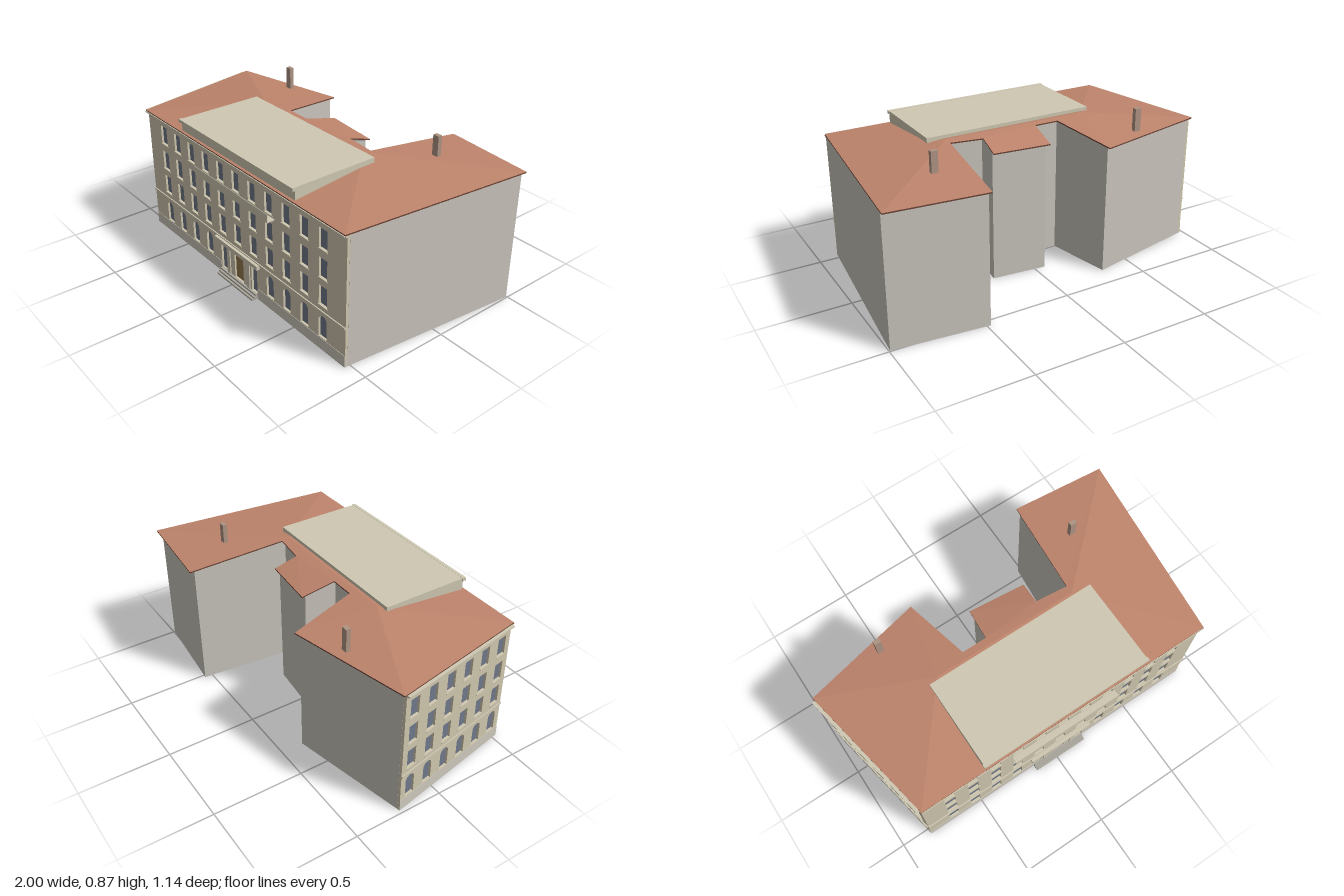
import * as THREE from 'three';

const mat = (color, double) => new THREE.MeshStandardMaterial({
  color, flatShading: true, side: double ? THREE.DoubleSide : THREE.FrontSide });
const M = {
  facade: mat(0xcfc7ae), wall: mat(0xc9c4bc, true), plinth: mat(0xcec9bc), trim: mat(0xcfc8b2),
  roof: mat(0xbe846c), eave: mat(0x6b4436, true), glass: mat(0x70788a), door: mat(0x95794f),
  step: mat(0xaaa69c), chimney: mat(0xae9484),
};

function add(parent, name, geometry, material, x = 0, y = 0, z = 0) {
  const mesh = new THREE.Mesh(geometry, material);
  mesh.name = name;
  mesh.position.set(x, y, z);
  parent.add(mesh);
  return mesh;
}

// Box given by its limits
function block(parent, name, material, x0, x1, y0, y1, z0, z1) {
  return add(parent, name, new THREE.BoxGeometry(x1 - x0, y1 - y0, z1 - z0), material,
    (x0 + x1) / 2, (y0 + y1) / 2, (z0 + z1) / 2);
}

// Rectangular or round-headed opening
function opening(x, y0, y1, w, arched) {
  const p = new THREE.Path(), r = w / 2;
  p.moveTo(x - r, y0);
  p.lineTo(x + r, y0);
  if (arched) {
    p.lineTo(x + r, y1 - r);
    p.absarc(x, y1 - r, r, 0, Math.PI, false);
  } else {
    p.lineTo(x + r, y1);
    p.lineTo(x - r, y1);
  }
  p.closePath();
  return p;
}

const DEPTH = 0.015, EAVE = 0.728;
const ROWS = [[0.57, 0.68], [0.412, 0.522], [0.258, 0.368]];

// Pierced facade plate, glazing, plinth, belt course and cornice; outer face at z = 0
function facade(name, length, columns, width, entrance) {
  const g = new THREE.Group();
  g.name = name;
  const shape = new THREE.Shape();
  shape.moveTo(0, 0).lineTo(length, 0).lineTo(length, EAVE).lineTo(0, EAVE).closePath();
  columns.forEach((x, i) => {
    for (const [y0, y1] of ROWS) {
      shape.holes.push(opening(x, y0, y1, width, false));
      block(g, 'windowSill', M.trim, x - width * 0.58, x + width * 0.58, y0 - 0.006, y0, -0.003, 0.003);
    }
    const mid = entrance && Math.abs(i - 5) <= 1;
    if (!mid) shape.holes.push(opening(x, 0.07, 0.2, width, true));
    else if (i === 5) shape.holes.push(opening(x, 0.03, 0.195, 0.08, false));
    else shape.holes.push(opening(x, 0.03, 0.178, 0.05, false));
  });
  add(g, 'facadeWall', new THREE.ExtrudeGeometry(shape,
    { depth: DEPTH, bevelEnabled: false, curveSegments: 8 }), M.facade, 0, 0, -DEPTH);
  block(g, 'windowGlass', M.glass, 0.02, length - 0.02, 0.02, 0.7, -0.0149, -0.0125);

  // Plinth, left open at the entrance
  const spans = entrance ? [[0, columns[4] - 0.03], [columns[6] + 0.03, length]] : [[0, length]];
  for (const [a, b] of spans) block(g, 'plinth', M.plinth, a, b, 0, 0.066, -0.01, 0.002);
  block(g, 'beltCourse', M.trim, 0, length, 0.22, 0.23, -0.01, 0.006);
  block(g, 'corniceLower', M.trim, 0, length, 0.715, 0.722, -0.01, 0.01);
  block(g, 'corniceUpper', M.trim, 0, length, 0.722, EAVE, -0.01, 0.02);
  return g;
}

// Wall corners: x, z, top height
const WALLS = [
  [-0.818, 0.515, 0.727], [0.8905, 0.515, 0.727], [0.995, -0.495, 0.727], [0.48, -0.545, 0.728],
  [0.43, 0, 0.775], [0.235, -0.02, 0.77], [0.245, -0.15, 0.735], [-0.06, -0.18, 0.735],
  [-0.075, 0, 0.775], [-0.24, 0, 0.775], [-0.315, -0.375, 0.728], [-0.965, -0.238, 0.727],
];

// Roof corners: x, z, height; the last two are the ends of the ridge
const ROOF = [
  [-0.835, 0.545, 0.734], [0.89, 0.545, 0.734], [1, -0.525, 0.734], [0.475, -0.572, 0.734],
  [0.42, -0.025, 0.781], [0.24, -0.045, 0.777], [0.25, -0.175, 0.738], [-0.07, -0.205, 0.738],
  [-0.09, -0.02, 0.781], [-0.23, -0.02, 0.781], [-0.31, -0.4, 0.734], [-0.985, -0.25, 0.734],
  [-0.41, 0.02, 0.786], [0.42, 0.02, 0.786],
];
const SLOPES = [[0, 1, 13, 12], [1, 2, 13], [2, 3, 4, 13], [13, 4, 5, 8, 9, 12],
  [5, 6, 7, 8], [12, 9, 10, 11], [12, 11, 0]];

function fromTriangles(points) {
  const geo = new THREE.BufferGeometry().setFromPoints(points);
  geo.computeVertexNormals();
  return geo;
}

// Vertical band around a closed outline
function band(corners, bottom) {
  const out = [];
  corners.forEach((a, i) => {
    const b = corners[(i + 1) % corners.length];
    const a0 = new THREE.Vector3(a[0], bottom(a), a[1]), b0 = new THREE.Vector3(b[0], bottom(b), b[1]);
    const a1 = new THREE.Vector3(a[0], a[2], a[1]), b1 = new THREE.Vector3(b[0], b[2], b[1]);
    out.push(a0, b0, b1, a0, b1, a1);
  });
  return out;
}

function roofFaces(drop) {
  const v = (i) => new THREE.Vector3(ROOF[i][0], ROOF[i][2] - drop, ROOF[i][1]);
  const out = [];
  for (const f of SLOPES)
    for (let k = 1; k < f.length - 1; k++) out.push(v(f[0]), v(f[k]), v(f[k + 1]));
  return out;
}

export function createModel() {
  const root = new THREE.Group();
  root.name = 'building';

  // Walls and floor
  add(root, 'outerWalls', fromTriangles(band(WALLS, () => 0)), M.wall);
  const floor = new THREE.ShapeGeometry(new THREE.Shape(WALLS.map(([x, z]) => new THREE.Vector2(x, z))));
  floor.rotateX(Math.PI / 2);
  add(root, 'floor', floor, M.wall);

  // Hipped roof with a thin dark eave
  add(root, 'roof', fromTriangles(roofFaces(0)), M.roof);
  add(root, 'roofEdge', fromTriangles(band(ROOF.slice(0, 12), (p) => p[2] - 0.007)), M.eave);
  add(root, 'roofUnderside', fromTriangles(roofFaces(0.007).reverse()), M.eave);

  // Front facade
  const cols = Array.from({ length: 11 }, (_, i) => 0.16 + i * 0.14);
  const front = facade('frontFacade', 1.725, cols, 0.06, true);
  front.position.set(-0.835, 0, 0.53);
  root.add(front);

  // Slanted side facade
  const dx = 0.145, dz = 0.765, len = Math.hypot(dx, dz);
  const sideCols = Array.from({ length: 6 }, (_, i) => len * (i + 0.5) / 6);
  const side = facade('sideFacade', len, sideCols, 0.06, false);
  side.position.set(-0.98, 0, -0.235);
  side.rotation.y = Math.atan2(-dz, dx);
  root.add(side);

  // Entrance: door, pillars, canopy and steps
  block(root, 'door', M.door, -0.015, 0.065, 0.03, 0.195, 0.516, 0.52);
  for (const x of [-0.065, 0.115])
    block(root, 'entrancePillar', M.trim, x - 0.012, x + 0.012, 0.03, 0.2, 0.525, 0.536);
  block(root, 'canopy', M.trim, -0.17, 0.22, 0.2, 0.224, 0.525, 0.552);
  [0.567, 0.555, 0.543].forEach((z, i) =>
    block(root, 'step', M.step, -0.14, 0.19, i * 0.01, (i + 1) * 0.01, 0.525, z));

  // Balcony
  block(root, 'balconyFloor', M.trim, -0.295, 0.355, 0.552, 0.558, 0.525, 0.572);
  block(root, 'balconyFront', M.trim, -0.295, 0.355, 0.552, 0.6, 0.569, 0.572);

  // Rooftop storey with front coping
  block(root, 'rooftopStorey', M.trim, -0.465, 0.52, 0.732, 0.803, 0.04, 0.53);
  block(root, 'rooftopCoping', M.trim, -0.47, 0.525, 0.787, 0.804, 0.525, 0.546);

  // Chimneys
  for (const x of [-0.57, 0.63])
    block(root, 'chimney', M.chimney, x - 0.018, x + 0.018, 0.735, 0.87, -0.29, -0.265);

  return root;
}
